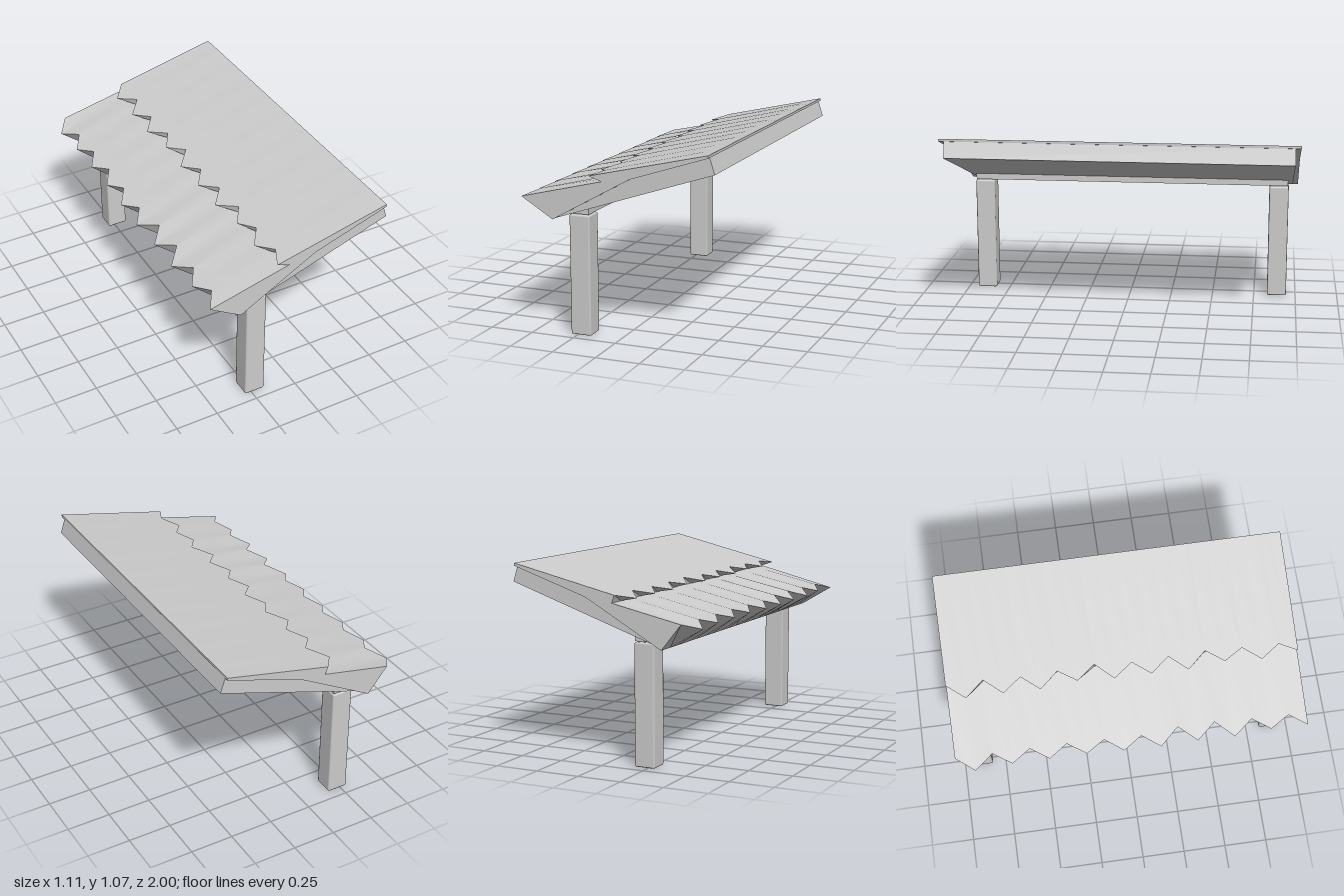
import * as THREE from 'three';
import { toCreasedNormals } from 'three/addons/utils/BufferGeometryUtils.js';
import { RoundedBoxGeometry } from 'three/addons/geometries/RoundedBoxGeometry.js';

// x of each zigzag point along the two ragged edges, from z = -1 to z = 1
const LOWER_EDGE = [-0.475, -0.55, -0.475, -0.54, -0.475, -0.54, -0.475, -0.54, -0.48, -0.55,
  -0.485, -0.555, -0.465, -0.55, -0.465, -0.555, -0.475, -0.54, -0.48, -0.545];
const UPPER_EDGE = [-0.085, -0.165, -0.08, -0.165, -0.09, -0.17, -0.085, -0.15, -0.075, -0.165,
  -0.09, -0.165, -0.085, -0.17, -0.08, -0.15, -0.09, -0.165, -0.095, -0.145];

// Counter-clockwise roof section at one station
function section(i) {
  const lx = LOWER_EDGE[i], ux = UPPER_EDGE[i];
  return [
    [lx, 0.795 + 0.43 * (lx + 0.475)],  // lower ragged edge
    [-0.36, 0.652],                     // eave bottom
    [0.09, 0.905],                      // underside bend
    [0.53, 1.05], [0.53, 1.065],        // high edge
    [ux, 0.925 + 0.3 * (ux + 0.085)],   // upper ragged edge
    [-0.07, 0.882],                     // notch under the upper layer
  ];
}

// Two-layer roof lofted through the stations, with closed ends
function roofGeometry() {
  const pos = [];
  const last = LOWER_EDGE.length - 1;
  const rings = LOWER_EDGE.map((_, i) =>
    section(i).map(([x, y]) => [x, y, -1 + (2 * i) / last]));
  const tri = (a, b, c) => pos.push(...a, ...b, ...c);
  for (let i = 0; i < last; i++) {
    const r = rings[i], s = rings[i + 1];
    for (let k = 0; k < r.length; k++) {
      const n = (k + 1) % r.length;
      tri(r[k], r[n], s[n]);
      tri(r[k], s[n], s[k]);
    }
  }
  for (const [ring, front] of [[rings[0], false], [rings[last], true]]) {
    const outline = ring.map(([x, y]) => new THREE.Vector2(x, y));
    for (const [a, b, c] of THREE.ShapeUtils.triangulateShape(outline, [])) {
      if (front) tri(ring[a], ring[b], ring[c]);
      else tri(ring[a], ring[c], ring[b]);
    }
  }
  const geo = new THREE.BufferGeometry();
  geo.setAttribute('position', new THREE.Float32BufferAttribute(pos, 3));
  return toCreasedNormals(geo, 0.25);
}

export function createModel() {
  const model = new THREE.Group();
  const grey = new THREE.MeshStandardMaterial({ color: 0xcccccc });
  grey.name = 'plain grey';
  const add = (name, geo, x = 0, y = 0, z = 0) => {
    const mesh = new THREE.Mesh(geo, grey);
    mesh.name = name;
    mesh.position.set(x, y, z);
    model.add(mesh);
  };

  add('layeredRoof', roofGeometry());

  // Wedge-shaped frame under the roof, set in slightly from both ends
  const wedge = new THREE.Shape([[-0.36, 0.653], [0.555, 0.96], [0.525, 1.052], [0.09, 0.91]]
    .map(([x, y]) => new THREE.Vector2(x, y)));
  add('roofFrame', new THREE.ExtrudeGeometry(wedge, { depth: 1.94, bevelEnabled: false }), 0, 0, -0.97);

  // Beam resting on the posts
  add('supportBeam', new THREE.BoxGeometry(0.11, 0.07, 1.88), -0.23, 0.715, 0);

  // Posts with softened edges
  for (const [name, side] of [['leftPost', 1], ['rightPost', -1]]) {
    add(name, new RoundedBoxGeometry(0.12, 0.675, 0.115, 1, 0.01), -0.23, 0.3375, side * 0.887);
  }
  return model;
}
